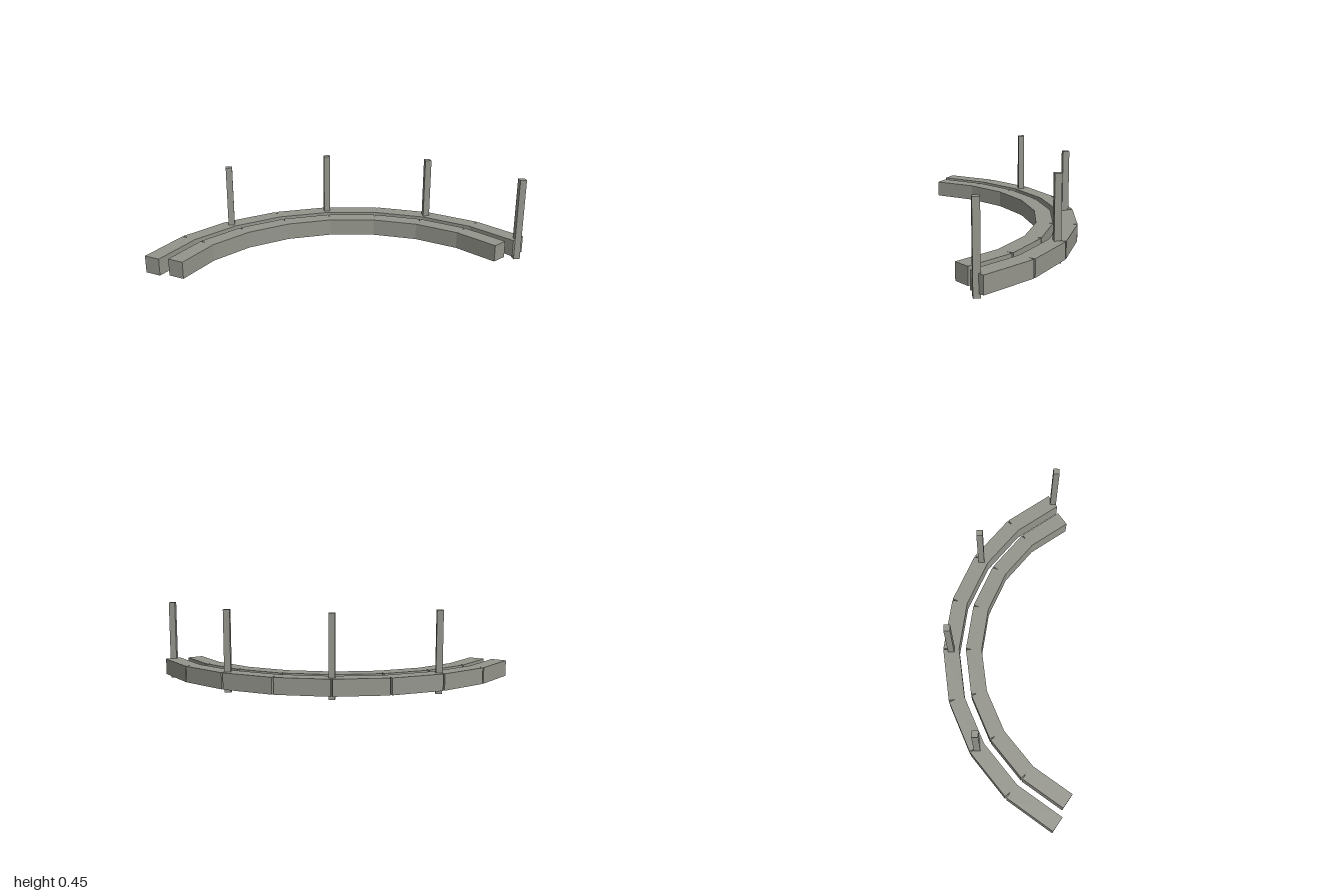
import * as THREE from 'three';

const STEP = THREE.MathUtils.degToRad(15.7); // turn between neighbouring segments
const WIDTH = 0.089;
const BOTTOM = 0.022, TOP = 0.113;

export function createModel() {
  const model = new THREE.Group();
  model.name = 'curvedBarrier';
  const stone = new THREE.MeshStandardMaterial({ color: 0x94958c });
  stone.name = 'warmGrey';

  // Arc of eight straight blocks; square ends leave small notches on the outside
  function addBeam(name, outerRadius, length, centreZ) {
    const beam = new THREE.Group();
    beam.name = name;
    const geometry = new THREE.BoxGeometry(length, TOP - BOTTOM, WIDTH);
    const radius = outerRadius - WIDTH / 2;
    for (let i = 0; i < 8; i++) {
      const angle = (i - 3.5) * STEP;
      const block = new THREE.Mesh(geometry, stone);
      block.name = name + 'Block' + (i + 1);
      block.position.set(
        radius * Math.sin(angle),
        (TOP + BOTTOM) / 2,
        centreZ - radius * Math.cos(angle)
      );
      block.rotation.y = -angle;
      beam.add(block);
    }
    model.add(beam);
  }
  addBeam('outerBeam', 1.12, 0.299, 0.77);
  addBeam('innerBeam', 0.986, 0.263, 0.763);

  // Upright square posts; one end of the arc has none
  const postHeight = 0.447;
  const postGeometry = new THREE.BoxGeometry(0.035, postHeight, 0.035);
  const spots = [[-0.565, -0.155], [0, -0.315], [0.563, -0.155], [0.96, 0.275]];
  spots.forEach(([x, z], i) => {
    const post = new THREE.Mesh(postGeometry, stone);
    post.name = 'post' + (i + 1);
    post.position.set(x, postHeight / 2, z);
    model.add(post);
  });

  return model;
}
